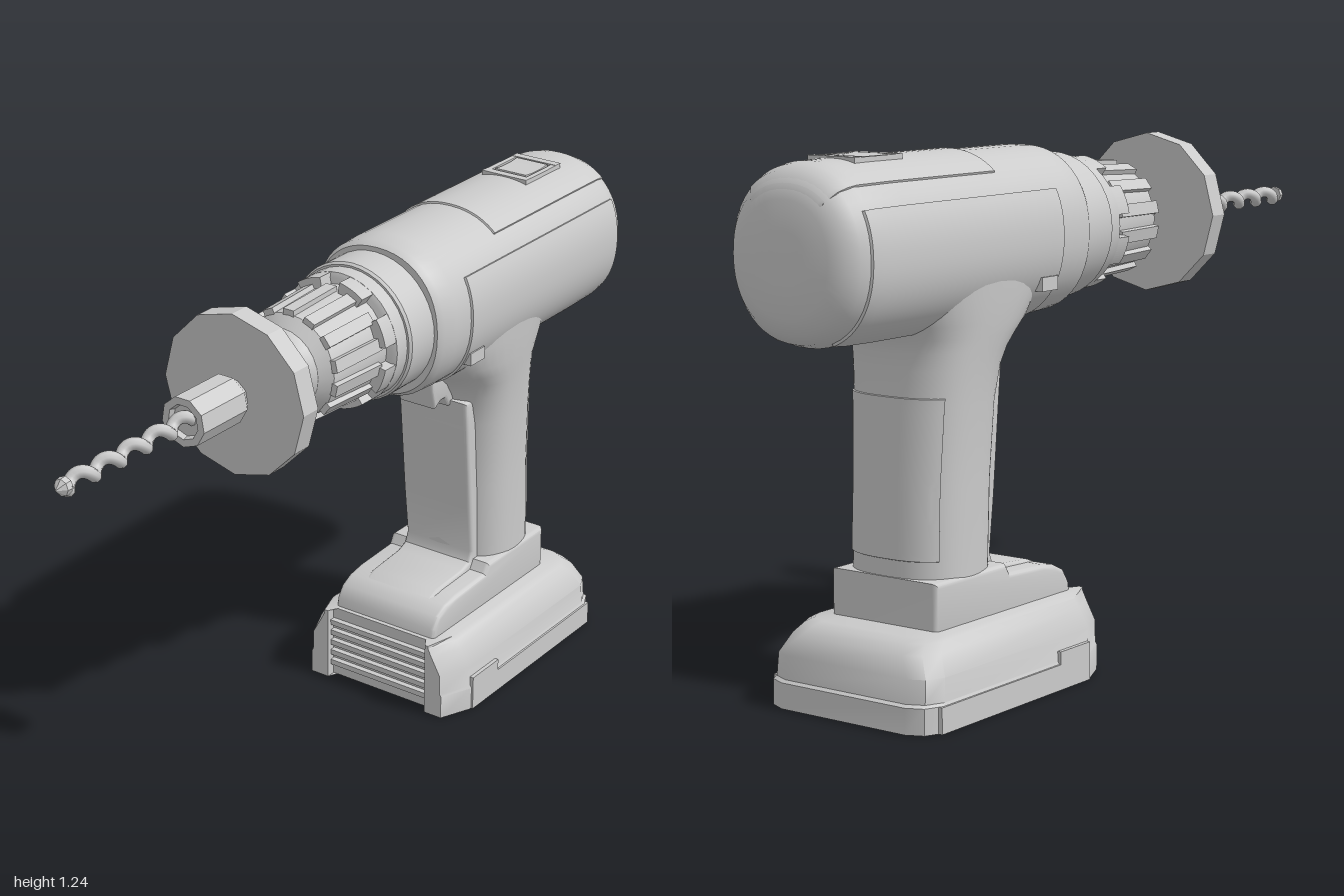
import * as THREE from 'three';
import { toCreasedNormals } from 'three/addons/utils/BufferGeometryUtils.js';

const AXIS_X = -0.005, AXIS_Y = 1.033;
const smooth = new THREE.MeshStandardMaterial({ color: 0xcccccc });
const faceted = new THREE.MeshStandardMaterial({ color: 0xcccccc, flatShading: true });
const thin = new THREE.MeshStandardMaterial({ color: 0xcccccc, side: THREE.DoubleSide });

// Interpolates a table whose first column is an ascending key
function sample(rows, key) {
  let i = 0;
  while (i < rows.length - 2 && key > rows[i + 1][0]) i++;
  const a = rows[i], b = rows[i + 1];
  const t = THREE.MathUtils.clamp((key - a[0]) / (b[0] - a[0] || 1), 0, 1);
  return a.map((v, k) => v + (b[k] - v) * t);
}

// Superellipse point
function oval(angle, rx, ry, n) {
  const f = v => Math.sign(v) * Math.abs(v) ** (2 / n);
  return [rx * f(Math.cos(angle)), ry * f(Math.sin(angle))];
}

// Skin over rows of points; closed rows also get end caps
function skin(rows, closed) {
  const n = rows[0].length, pos = rows.flat(2), index = [];
  for (let i = 0; i < rows.length - 1; i++) {
    for (let j = 0; j < (closed ? n : n - 1); j++) {
      const k = (j + 1) % n, a = i * n + j, b = i * n + k;
      index.push(a, b, b + n, a, b + n, a + n);
    }
  }
  if (closed) {
    [0, rows.length - 1].forEach((r, end) => {
      const c = pos.length / 3;
      pos.push(...[0, 1, 2].map(k => rows[r].reduce((s, p) => s + p[k], 0) / n));
      for (let j = 0; j < n; j++) {
        const a = r * n + j, b = r * n + (j + 1) % n;
        index.push(c, end ? a : b, end ? b : a);
      }
    });
  }
  const g = new THREE.BufferGeometry();
  g.setAttribute('position', new THREE.Float32BufferAttribute(pos, 3));
  g.setIndex(index);
  return toCreasedNormals(g, 0.7);
}

// Housing along z: key z, radius
const BODY = [[-1, 0.06], [-0.995, 0.125], [-0.98, 0.162], [-0.955, 0.185], [-0.92, 0.196],
  [-0.8, 0.198], [-0.2, 0.197], [-0.15, 0.194], [-0.134, 0.184]];
function bodyPoint(a, z, lift = 0) {
  const r = sample(BODY, z)[1];
  const [x, y] = oval(a, r * 0.955 + lift, r + lift, 2.2);
  return [x, AXIS_Y + y, z];
}

// Handle along y: key y, front z, back z, half width
const HANDLE = [[0.2, -0.42, -0.68, 0.148], [0.3, -0.42, -0.68, 0.148], [0.5, -0.41, -0.672, 0.147],
  [0.68, -0.398, -0.663, 0.154], [0.76, -0.38, -0.66, 0.161], [0.8, -0.355, -0.662, 0.166],
  [0.83, -0.32, -0.67, 0.17], [0.86, -0.28, -0.69, 0.174], [0.92, -0.23, -0.73, 0.179], [1.0, -0.21, -0.77, 0.184]];
function handlePoint(a, y, lift = 0) {
  const [, f, b, w] = sample(HANDLE, y);
  const [x, d] = oval(a, w + lift, (f - b) / 2 + lift, 2.6);
  return [x, y, (f + b) / 2 - d];
}

const ring = (point, key, n = 48) => Array.from({ length: n }, (_, j) => point(j / n * Math.PI * 2, key));

// Raised panel lying on a surface, with its rim sunk below it
function patch(point, a0, a1, k0, k1, lift) {
  const N = 24, rows = [];
  const at = (i, lo, hi, e) => lo + (hi - lo) * THREE.MathUtils.clamp((i - 1) / (N - 2), 0, 1) + (i === 0 ? -e : i === N ? e : 0);
  for (let i = 0; i <= N; i++) {
    rows.push(Array.from({ length: N + 1 }, (_, j) => {
      const rim = i === 0 || i === N || j === 0 || j === N;
      return point(at(j, a0, a1, 0.02), at(i, k0, k1, 0.004), rim ? -0.006 : lift);
    }));
  }
  return skin(rows, false);
}

// Side profile in (z, y) given a width in x
function sideProfile(points, width, bevel) {
  const shape = new THREE.Shape(points.map(p => new THREE.Vector2(...p)));
  const depth = width - 2 * bevel;
  const g = new THREE.ExtrudeGeometry(shape, { depth, bevelEnabled: bevel > 0, bevelSize: bevel,
    bevelThickness: bevel, bevelOffset: -bevel, bevelSegments: 3 });
  return toCreasedNormals(g.translate(0, 0, -depth / 2).rotateY(-Math.PI / 2), 0.6);
}

export function createModel() {
  const model = new THREE.Group();
  const add = (name, geometry, material = smooth, x = 0, y = 0, z = 0, parent = model) => {
    const m = new THREE.Mesh(geometry, material);
    m.name = name;
    m.position.set(x, y, z);
    parent.add(m);
    return m;
  };
  const deg = THREE.MathUtils.degToRad;

  // Motor housing and its raised panels
  add('motorHousing', skin(BODY.map(r => ring(bodyPoint, r[0])), true));
  add('topPanel', patch(bodyPoint, deg(49), deg(131), -0.985, -0.44, 0.004), thin);
  add('leftSidePanel', patch(bodyPoint, deg(-68), deg(30), -0.93, -0.26, 0.005), thin);
  add('rightSidePanel', patch(bodyPoint, deg(150), deg(248), -0.93, -0.26, 0.005), thin);

  // Speed switch on top
  for (const s of [-1, 1]) {
    add('switchFrameSide', new THREE.BoxGeometry(0.014, 0.025, 0.16), smooth, s * 0.058, 1.225, -0.76);
    add('switchFrameEnd', new THREE.BoxGeometry(0.13, 0.025, 0.022), smooth, 0, 1.226, -0.76 + s * 0.069);
  }
  add('switchSlider', sideProfile([[-0.82, 1.21], [-0.7, 1.21], [-0.71, 1.239], [-0.74, 1.236], [-0.78, 1.236], [-0.81, 1.239]], 0.09, 0));

  // Handle, front grip strip and rear grip panel
  add('handle', skin(HANDLE.map(r => ring(handlePoint, r[0])), true));
  add('gripStrip', sideProfile([[-0.375, 0.75], [-0.382, 0.68], [-0.404, 0.45], [-0.42, 0.32], [-0.41, 0.295],
    [-0.38, 0.284], [-0.27, 0.275], [-0.225, 0.257], [-0.225, 0.23], [-0.5, 0.23], [-0.5, 0.75]], 0.205, 0.01));
  add('rearGrip', patch(handlePoint, deg(38), deg(142), 0.34, 0.7, 0.003), thin);
  add('trigger', sideProfile([[-0.29, 0.85], [-0.298, 0.8], [-0.312, 0.748], [-0.335, 0.762], [-0.355, 0.762],
    [-0.372, 0.735], [-0.45, 0.73], [-0.45, 0.85]], 0.11, 0.008));
  for (const s of [-1, 1]) {
    add('directionButton', new THREE.BoxGeometry(0.04, 0.032, 0.06), smooth, s * 0.162, 0.928, -0.3);
  }

  // Handle foot
  add('foot', sideProfile([[-0.175, 0.18], [-0.18, 0.215], [-0.2, 0.245], [-0.235, 0.262], [-0.28, 0.27],
    [-0.41, 0.276], [-0.425, 0.3], [-0.683, 0.3], [-0.683, 0.18]], 0.302, 0.012));

  // Battery: stacked outlines with a notch in the front
  const outline = ([y, w, back]) => {
    const half = [[0.15, -0.165], [0.15, -0.14], [Math.max(0.16, w - 0.035), -0.14], [w, -0.22],
      [w, back + 0.06], [w - 0.02, back + 0.018], [w - 0.06, back]];
    const right = half.map(([x, z]) => [x, y, z]);
    return [...right, ...right.map(([x, , z]) => [-x, y, z]).reverse()];
  };
  add('battery', skin([[0, 0.236, -0.828], [0.06, 0.236, -0.828], [0.066, 0.232, -0.82], [0.12, 0.23, -0.815],
    [0.165, 0.205, -0.795], [0.185, 0.192, -0.77], [0.193, 0.18, -0.75]].map(outline), true));
  for (let i = 0; i < 5; i++) {
    add('batteryRib', new THREE.BoxGeometry(0.296, 0.014, 0.02), smooth, 0, 0.04 + i * 0.029, -0.16);
  }
  for (const s of [-1, 1]) {
    add('batterySideRail', sideProfile([[-0.225, 0], [-0.225, 0.09], [-0.34, 0.09], [-0.34, 0.06], [-0.78, 0.06], [-0.78, 0]], 0.02, 0),
      smooth, s * 0.231);
  }

  // Everything that spins shares one axis, pointing forward
  const axis = new THREE.Group();
  axis.name = 'driveAxis';
  axis.position.set(AXIS_X, AXIS_Y, 0);
  model.add(axis);
  const turned = (name, sides, material, profile) => {
    const g = new THREE.LatheGeometry(profile.map(([r, z]) => new THREE.Vector2(r, z)), sides).rotateX(Math.PI / 2);
    return add(name, toCreasedNormals(g, 0.5), material, 0, 0, 0, axis);
  };
  turned('gearCollar', 40, smooth, [[0, -0.16], [0.172, -0.16], [0.172, -0.045], [0.167, -0.038], [0, -0.038]]);
  turned('torqueRing', 32, smooth, [[0, -0.05], [0.162, -0.05], [0.162, 0.002], [0.15, 0.008], [0, 0.008]]);
  turned('chuckBody', 24, smooth, [[0, 0], [0.136, 0], [0.134, 0.06], [0.127, 0.2], [0.1, 0.225],
    [0.098, 0.235], [0.076, 0.268], [0.05, 0.27], [0, 0.27]]);

  // Torque ring teeth
  const tooth = new THREE.Shape();
  tooth.absarc(0, 0, 0.161, -0.22, 0.22, false);
  tooth.absarc(0, 0, 0.12, 0.22, -0.22, true);
  const toothGeo = new THREE.ExtrudeGeometry(tooth, { depth: 0.045, bevelEnabled: false, curveSegments: 6 });
  for (let i = 0; i < 8; i++) {
    add('ringTooth', toothGeo, smooth, 0, 0, 0, axis).rotation.z = (i + 0.5) * Math.PI / 4;
  }

  // Chuck grip ribs, tapering forward
  const ribGeo = new THREE.BoxGeometry(0.03, 0.05, 0.165);
  const rp = ribGeo.attributes.position;
  for (let i = 0; i < rp.count; i++) if (rp.getZ(i) > 0) rp.setY(i, rp.getY(i) - 0.007);
  for (let i = 0; i < 14; i++) {
    const pivot = new THREE.Group();
    pivot.name = 'chuckRib';
    pivot.rotation.z = i / 14 * Math.PI * 2;
    axis.add(pivot);
    add('chuckRibBar', ribGeo, faceted, 0, 0.12, 0.12, pivot);
  }

  // Shaft, guard disc and bit holder
  turned('shaft', 8, faceted, [[0, 0.25], [0.027, 0.25], [0.027, 0.36], [0, 0.36]]);
  turned('guardDisc', 12, faceted, [[0, 0.354], [0.196, 0.354], [0.196, 0.407], [0, 0.407]]);
  turned('bitHolder', 9, faceted, [[0, 0.4], [0.035, 0.4], [0.06, 0.432], [0.06, 0.584], [0.042, 0.584], [0.038, 0.57], [0, 0.57]]);

  // Spiral drill bit with a pointed tip
  const spiral = Array.from({ length: 61 }, (_, i) => {
    const t = i / 60, a = t * Math.PI * 10;
    return new THREE.Vector3(0.012 * Math.cos(a), 0.012 * Math.sin(a), 0.56 + t * 0.42);
  });
  add('drillBit', new THREE.TubeGeometry(new THREE.CatmullRomCurve3(spiral), 120, 0.0145, 8), smooth, 0, 0, 0, axis);
  turned('bitTip', 8, faceted, [[0, 0.965], [0.022, 0.967], [0.02, 0.982], [0, 1.0]]);

  return model;
}
